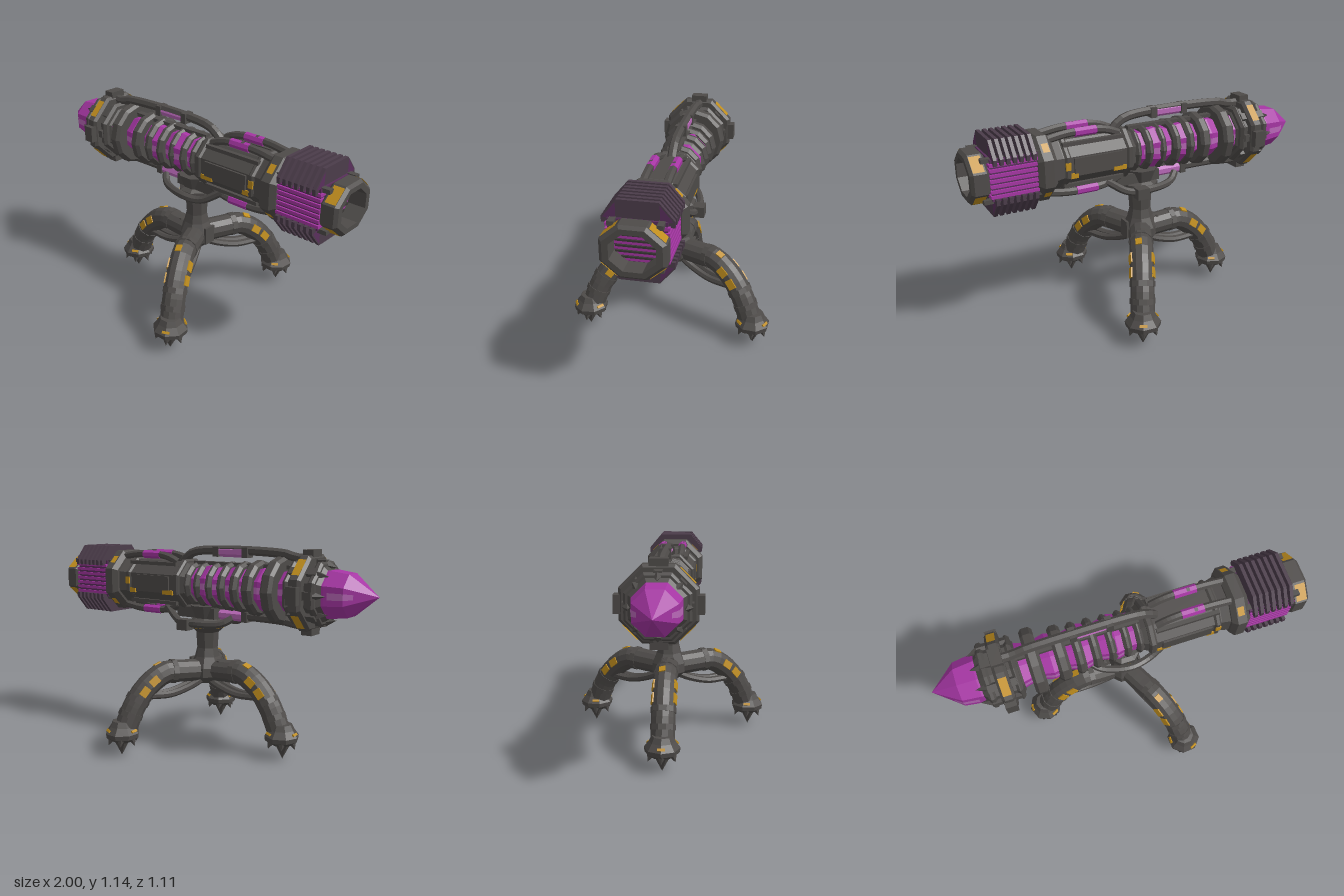
import * as THREE from 'three';

const mat = (name, color) => {
  const m = new THREE.MeshStandardMaterial({ color, side: THREE.DoubleSide });
  m.name = name;
  return m;
};

export function createModel() {
  const metal = mat('dark metal', 0x4e4b49);
  const shade = mat('black metal', 0x3a3735);
  const finMetal = mat('purple tinted metal', 0x4b3c4a);
  const crystal = mat('purple crystal', 0xa636a4);
  const glint = mat('light purple', 0xb968b8);
  const dim = mat('dim purple', 0x5a2f5c);
  const amber = mat('amber paint', 0xc08e1e);
  const root = new THREE.Group();
  root.name = 'tripodCannon';
  const barrel = new THREE.Group();
  barrel.name = 'barrel';
  barrel.position.y = 0.915;
  root.add(barrel);

  // Faceted mesh helper
  const add = (parent, name, geo, material, x = 0, y = 0, z = 0) => {
    const g = geo.index ? geo.toNonIndexed() : geo;
    g.computeVertexNormals();
    const m = new THREE.Mesh(g, material);
    m.name = name;
    m.position.set(x, y, z);
    parent.add(m);
    return m;
  };
  const box = (parent, name, w, h, d, material, x, y, z) =>
    add(parent, name, new THREE.BoxGeometry(w, h, d), material, x, y, z);
  const shapeOf = pts => new THREE.Shape(pts.map(p => new THREE.Vector2(...p)));
  // Profile of [x, radius] turned around the barrel axis
  const turned = (name, pts, material, sides = 8, start = Math.PI / 8, length = Math.PI * 2) => {
    const g = new THREE.LatheGeometry(pts.map(([x, r]) => new THREE.Vector2(r, x)), sides, start, length);
    return add(barrel, name, g.rotateZ(-Math.PI / 2), material);
  };
  const band = (x0, x1, ri, ro, c = 0.015) =>
    [[x0, ri], [x0, ro - c], [x0 + c, ro], [x1 - c, ro], [x1, ro - c], [x1, ri], [x0, ri]];
  const pipe = (parent, name, pts, r, material) => {
    const curve = new THREE.CatmullRomCurve3(pts.map(p => new THREE.Vector3(...p)), false, 'centripetal');
    return add(parent, name, new THREE.TubeGeometry(curve, 20, r, 7), material);
  };
  // Amber plates on the four slanted faces of an eight-sided band; cover is the share of each face
  const paint = (x0, x1, r, cover, stretch = 1) => [1, 3, 5, 7].forEach(f => {
    const half = cover * Math.PI / 8, rr = r * Math.cos(Math.PI / 8) / Math.cos(half);
    turned('amberPatch', [[x0, rr], [x1, rr]], amber, 1, f * Math.PI / 4 - half, half * 2).scale.z = stretch;
  });

  // Crystal tip and glowing core, with light facets on both sides
  turned('crystalTip', [[-1, 0], [-0.86, 0.115], [-0.76, 0.129], [-0.64, 0.125]], crystal);
  const core = [[-0.62, 0.1]];
  for (let i = 0; i < 8; i++) core.push([-0.55 + i * 0.085, i % 2 ? 0.1 : 0.122]);
  core.push([0.12, 0.1]);
  turned('crystalCore', core, crystal);
  for (const a of [0, Math.PI]) {
    turned('coreGlint', core.slice(1, 9).map(([x, r]) => [x, r * 0.95]), glint, 1, a - 0.15, 0.3);
    turned('tipGlint', [[-0.9, 0.079], [-0.86, 0.1095], [-0.78, 0.12]], glint, 1, a - 0.15, 0.3);
  }

  // Front collar with claws, ring and clamps
  turned('frontCollar', band(-0.75, -0.54, 0.11, 0.158, 0.03), metal);
  turned('frontLip', band(-0.73, -0.69, 0.12, 0.172, 0.012), metal);
  turned('frontRing', band(-0.67, -0.6, 0.12, 0.205), metal);
  turned('rearLip', band(-0.585, -0.55, 0.11, 0.172), metal);
  paint(-0.657, -0.613, 0.209, 0.66);
  for (let i = 0; i < 8; i++) {
    const clamp = new THREE.Group();
    clamp.name = 'collarClamp';
    clamp.rotation.x = i * Math.PI / 4;
    barrel.add(clamp);
    if (i % 2 === 0) box(clamp, 'clampBlock', 0.06, 0.04, 0.09, metal, -0.635, 0.196, 0);
    box(clamp, 'clampArm', 0.15, 0.025, 0.04, metal, -0.645, 0.155, 0);
    const claw = add(clamp, 'claw', new THREE.ConeGeometry(0.022, 0.06, 4), metal, -0.75, 0.137, 0);
    claw.rotation.z = Math.PI / 2 + 0.2;
  }

  // Coil rings around the core
  [[-0.462, 0.178, 0.07], [-0.325, 0.15, 0.064], [-0.235, 0.14, 0.05], [-0.15, 0.136, 0.048],
    [-0.065, 0.13, 0.044], [0.015, 0.128, 0.044], [0.085, 0.125, 0.04]].forEach(([x, r, w]) =>
    turned('coilRing', band(x - w / 2, x + w / 2, 0.095, r, 0.016), metal, 12, 0));
  for (const s of [-1, 1]) box(barrel, 'coreRail', 0.66, 0.02, 0.035, metal, -0.23, s * 0.12, 0);

  // Rear housing with panels
  turned('housing', [[0.1, 0], [0.1, 0.115], [0.14, 0.136], [0.52, 0.136], [0.58, 0.15], [0.58, 0]], metal);
  turned('housingBand', band(0.125, 0.165, 0.1, 0.147, 0.01), metal);
  turned('housingBand', band(0.48, 0.515, 0.1, 0.147, 0.01), metal);
  for (const s of [-1, 1]) {
    box(barrel, 'sidePanel', 0.27, 0.08, 0.012, metal, 0.33, 0.005, s * 0.13);
    box(barrel, 'amberStrip', 0.075, 0.025, 0.009, amber, 0.205, -0.047, s * 0.127);
    box(barrel, 'amberStrip', 0.04, 0.028, 0.009, amber, 0.465, -0.047, s * 0.128);
    box(barrel, 'amberStrip', 0.028, 0.04, 0.008, amber, 0.5, 0.008, s * 0.135);
    for (const z of [-0.085, 0.085]) box(barrel, 'cornerRail', 0.34, 0.02, 0.022, metal, 0.34, s * 0.11, z);
  }
  turned('rearCollar', band(0.565, 0.665, 0, 0.186, 0.025), metal);
  paint(0.595, 0.63, 0.189, 0.36);

  // Cooling section: side slats, dark bars across the bore, fins above and below
  box(barrel, 'coolingCore', 0.24, 0.215, 0.27, dim, 0.78, 0.005, 0);
  for (let i = 0; i < 7; i++) {
    const y = -0.078 + i * 0.027;
    box(barrel, 'coolingSlat', 0.245, 0.016, 0.29, crystal, 0.785, y, 0);
    box(barrel, 'boreBar', 0.008, 0.009, 0.2, shade, 0.908, y + 0.0115, 0);
  }
  const fin = shapeOf([[-0.165, 0.085], [0.165, 0.085], [0.165, 0.115], [0.095, 0.198], [-0.095, 0.198], [-0.165, 0.115]]);
  const finCorner = shapeOf([[0.158, 0.112], [0.098, 0.186], [0.1, 0.1]]);
  for (const s of [0, 1]) {
    for (let i = 0; i < 7; i++) {
      const g = new THREE.ExtrudeGeometry(fin, { depth: 0.018, bevelEnabled: false });
      add(barrel, 'coolingFin', g.rotateY(Math.PI / 2), finMetal, 0.674 + i * 0.033, 0, 0).rotation.x = s * Math.PI;
    }
    // Dim plates on the corners of the last fin
    for (const side of [-1, 1]) {
      const plate = add(barrel, 'finCornerPlate', new THREE.ShapeGeometry(finCorner).rotateY(Math.PI / 2), dim, 0.8925, 0, 0);
      plate.rotation.x = s * Math.PI;
      plate.scale.z = side;
    }
  }
  for (const y of [-0.105, 0.105]) for (const z of [-0.11, 0.11])
    box(barrel, 'muzzleStrut', 0.3, 0.022, 0.03, metal, 0.79, y, z);

  // Hollow muzzle
  turned('muzzle', band(0.905, 1, 0.096, 0.138), metal).scale.z = 1.18;
  paint(0.928, 0.985, 0.1415, 0.8, 1.18);

  // Long and short conduits, above and below
  for (const s of [-1, 1]) {
    const a = s > 0 ? 0.187 : 0.16;
    pipe(barrel, 'longConduit', [[-0.61, s * 0.17, 0], [-0.55, s * 0.17, 0], [-0.49, s * a, 0], [0.07, s * a, 0],
      [0.14, s * 0.165, 0], [0.19, s * 0.12, 0]], 0.025, metal);
    const sleeve = add(barrel, 'conduitGlow', new THREE.CylinderGeometry(0.029, 0.029, 0.15, 7), glint, -0.15, s * a, 0);
    sleeve.rotation.z = Math.PI / 2;
    for (const x of [-0.245, -0.055]) box(barrel, 'conduitClip', 0.035, 0.056, 0.06, metal, x, s * a, 0);
    for (const z of [-0.058, 0.058]) {
      pipe(barrel, 'shortConduit', [[0.18, s * 0.12, z], [0.24, s * 0.145, z], [0.31, s * 0.158, z], [0.47, s * 0.158, z],
        [0.59, s * 0.14, z]], 0.021, metal);
      const glow = add(barrel, 'conduitGlow', new THREE.CylinderGeometry(0.024, 0.024, 0.12, 7), crystal, 0.37, s * 0.158, z);
      glow.rotation.z = Math.PI / 2;
    }
  }

  // Mount under the barrel
  const mount = new THREE.Group();
  mount.name = 'mount';
  mount.position.x = 0.02;
  root.add(mount);
  const post = [[0, 0.35], [0.06, 0.36], [0.1, 0.4], [0.098, 0.45], [0.072, 0.51], [0.06, 0.56], [0.066, 0.65],
    [0.1, 0.68], [0.1, 0.715], [0.075, 0.73], [0.1, 0.8], [0, 0.8]];
  add(mount, 'postAndHub', new THREE.LatheGeometry(post.map(p => new THREE.Vector2(...p)), 8, Math.PI / 8), metal);
  for (let i = 0; i < 4; i++)
    add(mount, 'amberCollarPatch', new THREE.CylinderGeometry(0.104, 0.097, 0.016, 1, 1, true,
      Math.PI / 2 * i - Math.PI / 8, Math.PI / 4), amber, 0, 0.684, 0);
  box(mount, 'cradle', 0.26, 0.06, 0.12, metal, 0.04, 0.76, 0);
  for (const s of [-1, 1]) {
    pipe(mount, 'cradlePipe', [[-0.2, 0.745, s * 0.04], [-0.15, 0.715, s * 0.08], [0, 0.708, s * 0.122],
      [0.12, 0.708, s * 0.1], [0.24, 0.78, s * 0.06]], 0.021, metal);
    box(mount, 'hubPlate', 0.014, 0.1, 0.07, metal, s * 0.096, 0.445, 0);
  }
  box(mount, 'cradleBolt', 0.07, 0.06, 0.06, metal, 0.06, 0.7, -0.13);

  // Three clawed legs
  const legCurve = new THREE.CatmullRomCurve3([[0.03, 0.43], [0.17, 0.437], [0.265, 0.437], [0.37, 0.37], [0.45, 0.265], [0.505, 0.14]]
    .map(([x, y]) => new THREE.Vector3(x, y, 0)));
  const foot = [[0, 0.075], [0.055, 0.08], [0.092, 0.105], [0.096, 0.13], [0.07, 0.165], [0.055, 0.195], [0, 0.2]];
  for (const [angle, shift] of [[Math.PI, 0.022], [1.1, 0], [-1.1, 0]]) {
    const leg = new THREE.Group();
    leg.name = 'leg';
    leg.rotation.y = angle;
    leg.position.x = shift;
    mount.add(leg);
    add(leg, 'legTube', new THREE.TubeGeometry(legCurve, 14, 0.064, 12), metal);
    // Parts fixed to the leg at a point along its curve
    const at = (t, roll) => {
      const holder = new THREE.Group(), d = legCurve.getTangentAt(t);
      holder.name = 'legFitting';
      holder.position.copy(legCurve.getPointAt(t));
      holder.rotation.set(roll, 0, Math.atan2(d.y, d.x), 'ZYX');
      leg.add(holder);
      return holder;
    };
    for (const t of [0.3, 0.72, 0.86]) {
      const ring = add(at(t, 0), 'legCuff', new THREE.CylinderGeometry(0.068, 0.068, 0.03, 10), metal);
      ring.rotation.z = Math.PI / 2;
    }
    for (const t of [0.51, 0.63]) for (const s of [-1, 1])
      box(at(t, s * 1.31), 'legPatch', 0.055, 0.009, 0.042, amber, 0, 0.062, 0);
    box(at(0.4, 0.26), 'legTopPatch', 0.04, 0.009, 0.034, amber, 0, 0.062, 0);
    for (const z of [-0.025, 0.025])
      pipe(leg, 'legBrace', [[0.05, 0.38, z], [0.13, 0.345, z], [0.24, 0.317, z], [0.36, 0.32, z]], 0.02, metal);
    add(leg, 'foot', new THREE.LatheGeometry(foot.map(p => new THREE.Vector2(...p)), 8), metal, 0.52, 0, 0);
    add(leg, 'footSpike', new THREE.ConeGeometry(0.052, 0.1, 6).rotateX(Math.PI), metal, 0.527, 0.05, 0);
    for (let i = 0; i < 6; i++) {
      const toe = new THREE.Group();
      toe.name = 'toe';
      toe.position.set(0.52, 0, 0);
      toe.rotation.y = i * Math.PI / 3;
      leg.add(toe);
      const spike = add(toe, 'toeSpike', new THREE.ConeGeometry(0.03, 0.055, 5).rotateX(Math.PI), metal, 0.072, 0.09, 0);
      spike.rotation.z = 0.4;
      if (i % 2 === 0) {
        const dab = box(toe, 'footPatch', 0.014, 0.008, 0.04, amber, 0.081, 0.147, 0);
        dab.rotation.z = -0.93;
      }
    }
  }
  return root;
}
